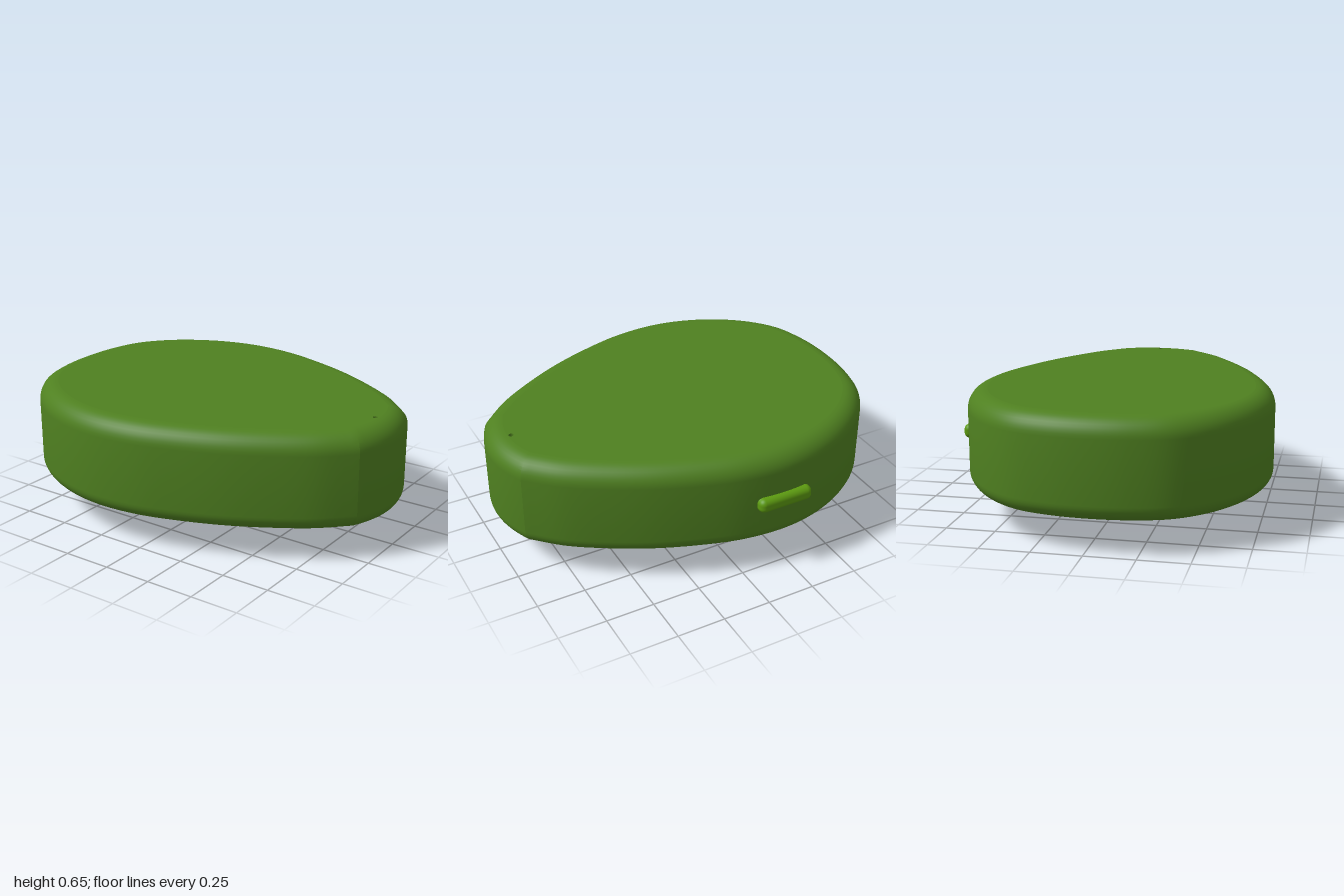
import * as THREE from 'three';
import { toCreasedNormals } from 'three/addons/utils/BufferGeometryUtils.js';
import { RoundedBoxGeometry } from 'three/addons/geometries/RoundedBoxGeometry.js';

const CX = -0.018; // the body's own centre line
const BOTTOM = 0.158, TOP = 0.65;
const HOLE = { x: -0.018, z: 0.88, r: 0.013 };

const V2 = (x, y) => new THREE.Vector2(x, y);
const paint = (color) => new THREE.MeshStandardMaterial({ color });

function addMesh(group, name, geometry, material) {
  const mesh = new THREE.Mesh(geometry, material);
  mesh.name = name;
  group.add(mesh);
  return mesh;
}

// Egg-shaped plan in (x, z): a smooth curve around the back, then a shallow arc at the tip
function bodyOutline() {
  const half = [[0.245, 0.935], [0.385, 0.79], [0.51, 0.6], [0.615, 0.4], [0.7, 0.18], [0.755, -0.02],
    [0.774, -0.24], [0.745, -0.44], [0.67, -0.63], [0.55, -0.8], [0.39, -0.925], [0.2, -0.983]];
  const mirrored = half.map(([x, z]) => [-x, z]).reverse();
  const side = new THREE.SplineCurve(
    [...half, [0, -1], ...mirrored].map(([x, z]) => V2(CX + x, z)));
  const tip = new THREE.QuadraticBezierCurve(V2(CX - 0.245, 0.935), V2(CX, 1.06), V2(CX + 0.245, 0.935));
  return [...side.getSpacedPoints(140).slice(0, -1), ...tip.getSpacedPoints(16).slice(0, -1)];
}

// Moves each outline point inward along its normal
function inset(points, d) {
  const n = points.length;
  return points.map((p, i) => {
    const t = points[(i + 1) % n].clone().sub(points[(i + n - 1) % n]).normalize();
    return V2(p.x + t.y * d, p.y - t.x * d);
  });
}

// Wall swept through a profile of [inset, height] pairs
function wallGeometry(outline, profile) {
  const n = outline.length, positions = [], index = [];
  profile.forEach(([d, y]) => inset(outline, d).forEach((p) => positions.push(p.x, y, p.y)));
  for (let j = 0; j < profile.length - 1; j++) {
    for (let i = 0; i < n; i++) {
      const a = j * n + i, b = j * n + ((i + 1) % n);
      index.push(a, b, b + n, a, b + n, a + n);
    }
  }
  const geometry = new THREE.BufferGeometry();
  geometry.setAttribute('position', new THREE.Float32BufferAttribute(positions, 3));
  geometry.setIndex(index);
  return toCreasedNormals(geometry, 0.3);
}

// Flat cap with the cord hole; up = 1 faces up, -1 faces down
function capGeometry(points, y, up) {
  const shape = new THREE.Shape(points.map((p) => V2(p.x, -up * p.y)));
  const hole = new THREE.Path().absarc(HOLE.x, -up * HOLE.z, HOLE.r, 0, Math.PI * 2, true);
  shape.holes.push(hole);
  return new THREE.ShapeGeometry(shape, 12).rotateX(-up * Math.PI / 2).translate(0, y, 0);
}

export function createModel() {
  const model = new THREE.Group();
  model.name = 'alarmPendant';
  const green = paint(0x4f8020);

  // Body shell with rounded lower and upper edges
  const body = new THREE.Group();
  body.name = 'body';
  model.add(body);
  const outline = bodyOutline();
  const rLow = 0.08, rHigh = 0.1, steps = 9, profile = [];
  for (let i = 0; i <= steps; i++) {
    const a = (i / steps) * Math.PI / 2;
    profile.push([rLow * (1 - Math.sin(a)), BOTTOM + rLow * (1 - Math.cos(a))]);
  }
  for (let i = 0; i <= steps; i++) {
    const a = (i / steps) * Math.PI / 2;
    profile.push([rHigh * (1 - Math.cos(a)), TOP - rHigh * (1 - Math.sin(a))]);
  }
  addMesh(body, 'shellWall', wallGeometry(outline, profile), green);
  addMesh(body, 'topFace', capGeometry(inset(outline, rHigh), TOP, 1), green);
  addMesh(body, 'bottomPlate', capGeometry(inset(outline, rLow), BOTTOM, -1), paint(0x505a2c));

  // Small through hole for a cord
  const bore = new THREE.CylinderGeometry(HOLE.r, HOLE.r, TOP - BOTTOM, 24, 1, true);
  const boreMaterial = paint(0x4f8020);
  boreMaterial.side = THREE.DoubleSide;
  addMesh(body, 'cordHole', bore, boreMaterial)
    .position.set(HOLE.x, (TOP + BOTTOM) / 2, HOLE.z);

  // Round call button underneath
  const button = new THREE.Group();
  button.name = 'callButton';
  button.position.set(CX, 0, -0.23);
  model.add(button);
  const R = 0.393, r = 0.105, y0 = 0.025;
  const rim = [V2(0, y0), V2(0.15, y0)];
  for (let i = 0; i <= 10; i++) {
    const a = (i / 10) * Math.PI / 2;
    rim.push(V2(R - r + r * Math.sin(a), y0 + r * (1 - Math.cos(a))));
  }
  rim.push(V2(R, BOTTOM + 0.005));
  addMesh(button, 'buttonDome', new THREE.LatheGeometry(rim, 72), paint(0x9a8772));

  // Three plain raised pads on the button
  const padProfile = [V2(0, 0), V2(0.8, 0), V2(0.95, 0.006), V2(1, 0.014), V2(1, 0.03)];
  [[-0.16, 0.055], [0, 0.08], [0.16, 0.055]].forEach(([x, halfWidth], i) => {
    const pad = addMesh(button, 'tactilePad' + (i + 1), new THREE.LatheGeometry(padProfile, 32), paint(0xcccccc));
    pad.scale.set(halfWidth, 1, 0.085);
    pad.position.x = x;
  });

  // Slim key on the left side
  addMesh(model, 'sideKey', new RoundedBoxGeometry(0.08, 0.076, 0.295, 5, 0.03), paint(0x5c9a10))
    .position.set(0.75, 0.392, -0.218);

  return model;
}
